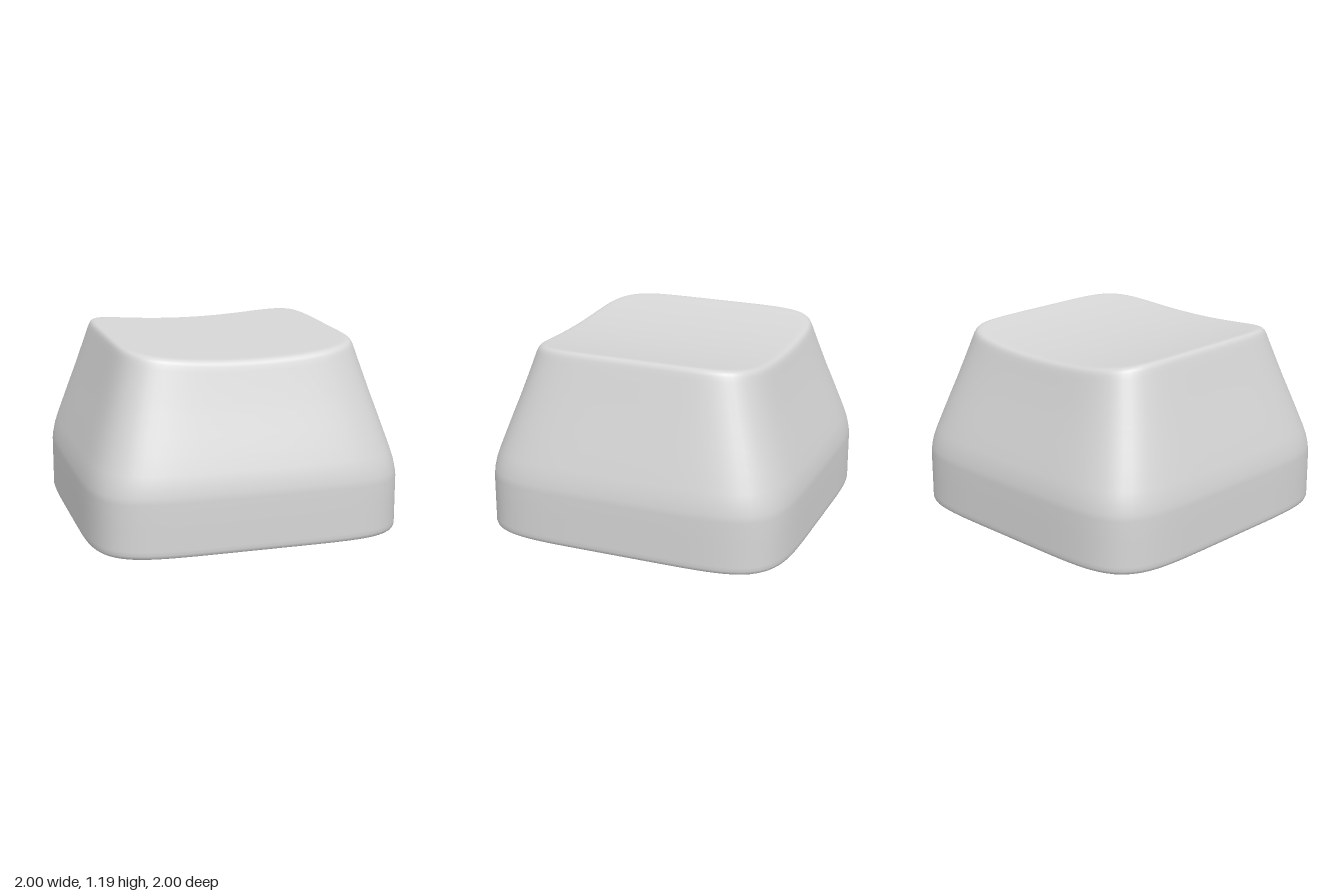
import * as THREE from 'three';
import { toCreasedNormals } from 'three/addons/utils/BufferGeometryUtils.js';

const SEGMENTS = 144;
const OUTER_CORNER = 5.8; // superellipse exponents of the rounded-square sections
const INNER_CORNER = 6.6;

// Lofts rounded-square rings [y, halfWidth, corner]; dish bends the upper part to a cylinder.
function loft(rings, dish) {
  const positions = [], index = [];
  for (const [y, half, n] of rings) {
    const blend = dish * THREE.MathUtils.smoothstep(y, 0.4, 1.05);
    for (let i = 0; i < SEGMENTS; i++) {
      const a = (i / SEGMENTS) * Math.PI * 2;
      const c = Math.cos(a), s = Math.sin(a);
      const r = Math.pow(Math.abs(c) ** n + Math.abs(s) ** n, -1 / n);
      const lift = blend * (half * r * c / 0.72) ** 2;
      const h = half - 0.3 * lift * Math.min(1, half / 0.7); // keep the wall slope
      positions.push(h * r * c, y + lift, h * r * s * (1 - 0.3 * blend));
    }
  }
  for (let j = 0; j < rings.length - 1; j++) {
    for (let i = 0; i < SEGMENTS; i++) {
      const k = (i + 1) % SEGMENTS;
      const a = j * SEGMENTS + i, b = j * SEGMENTS + k;
      index.push(a, a + SEGMENTS, b, b, a + SEGMENTS, b + SEGMENTS);
    }
  }
  const geometry = new THREE.BufferGeometry();
  geometry.setAttribute('position', new THREE.Float32BufferAttribute(positions, 3));
  geometry.setIndex(index);
  geometry.computeVertexNormals();
  return geometry;
}

// Round post with a cross-shaped socket
function stemGeometry(radius, reach, arm, bottom, top) {
  const shape = new THREE.Shape();
  shape.absarc(0, 0, radius, 0, Math.PI * 2, false);
  const cross = [
    [reach, -arm], [reach, arm], [arm, arm], [arm, reach], [-arm, reach], [-arm, arm],
    [-reach, arm], [-reach, -arm], [-arm, -arm], [-arm, -reach], [arm, -reach], [arm, -arm],
  ].map(([x, y]) => new THREE.Vector2(x, y));
  shape.holes.push(new THREE.Path(cross.reverse()));
  const geometry = new THREE.ExtrudeGeometry(shape, { depth: top - bottom, bevelEnabled: false, curveSegments: 32 });
  geometry.rotateX(-Math.PI / 2);
  geometry.translate(0, bottom, 0);
  return toCreasedNormals(geometry, 0.5);
}

export function createModel() {
  const group = new THREE.Group();
  group.name = 'keycap';
  const plastic = new THREE.MeshStandardMaterial({ color: 0xd6d6d6 });
  plastic.name = 'light grey plastic';

  const add = (name, geometry) => {
    const mesh = new THREE.Mesh(geometry, plastic);
    mesh.name = name;
    group.add(mesh);
  };

  // Outer skirt, tapering walls, soft rim and dished top
  const outer = [
    [0, 0.985], [0.008, 0.994], [0.025, 1], [0.05, 1], [0.2, 1], [0.34, 1], [0.38, 0.996],
    [0.44, 0.985], [0.5, 0.968], [0.6, 0.935], [0.7, 0.902], [0.8, 0.868], [0.9, 0.836],
    [1.0, 0.804], [1.06, 0.785], [1.09, 0.775], [1.108, 0.767], [1.12, 0.757], [1.127, 0.744], [1.13, 0.726],
  ];
  for (let i = 11; i >= 0; i--) outer.push([1.13, 0.69 * i / 11]);
  add('outerShell', loft(outer.map(([y, half]) => [y, half, OUTER_CORNER]), 0.056));

  // Flat bottom edge of the wall
  add('bottomEdge', loft([[0, 0.935, INNER_CORNER], [0, 0.985, OUTER_CORNER]], 0));

  // Hollow inside: flat ceiling and straight tapering walls
  add('innerCeiling', loft([[0.99, 0, INNER_CORNER], [0.99, 0.35, INNER_CORNER], [0.99, 0.7, INNER_CORNER]], 0));
  add('innerWall', loft([[0.99, 0.7, INNER_CORNER], [0.5, 0.82, INNER_CORNER], [0, 0.935, INNER_CORNER]], 0));

  // Mounting post
  add('stem', stemGeometry(0.307, 0.24, 0.065, 0.08, 1.0));
  return group;
}
